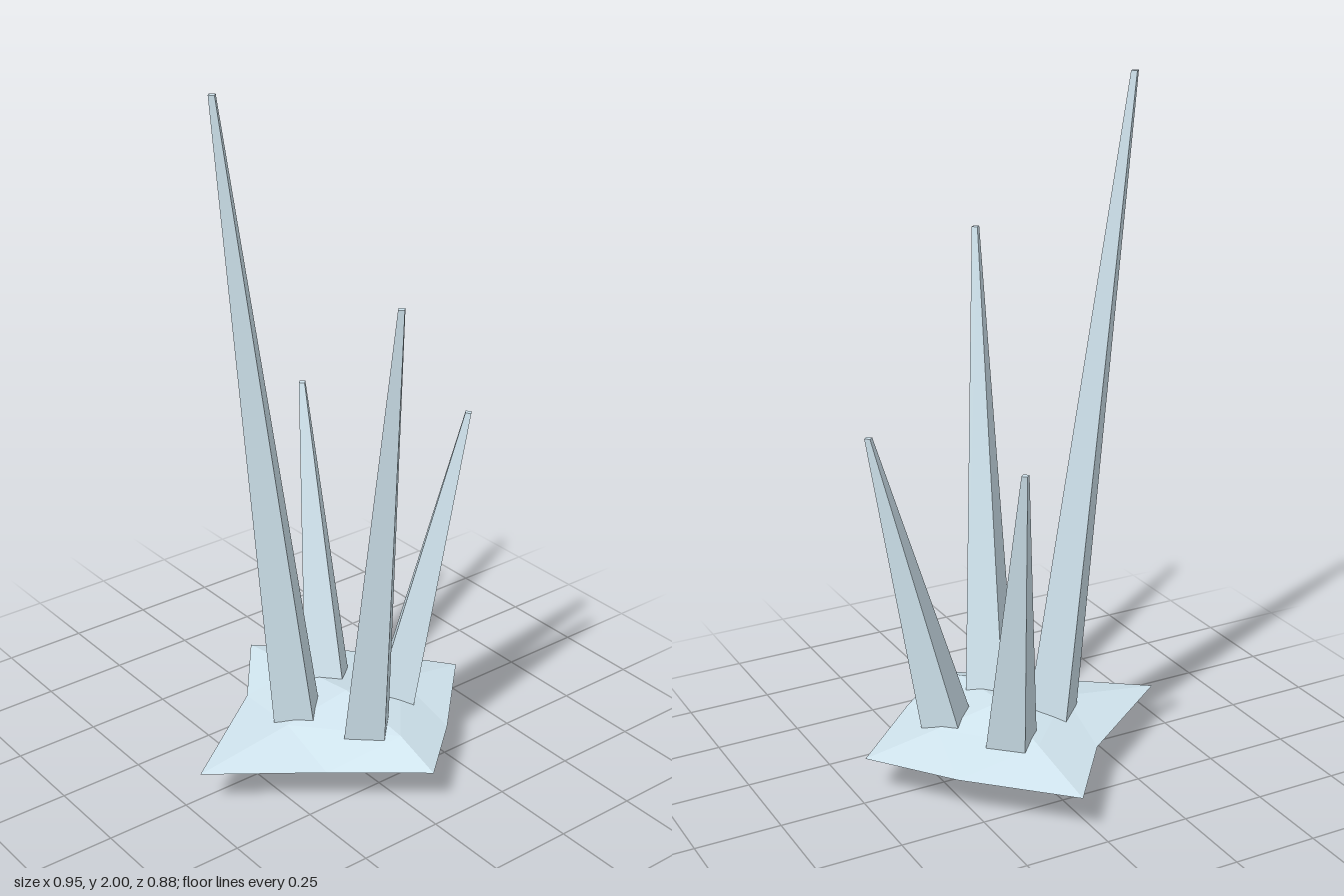
import * as THREE from 'three';

const material = new THREE.MeshStandardMaterial({ color: 0xd0e4ee });
material.flatShading = true;

// Faceted rock: two shallow four-sided peaks, each side split into four triangles
function createRock() {
  const rimY = 0.115;
  const corners = [[0.475, 0.04], [0.045, 0.435], [-0.475, 0.04], [0.045, -0.44]];
  const rimMids = [[0.23, 0.28], [-0.19, 0.25], [-0.135, -0.21], [0.30, -0.19]];
  const topMids = [[0.25, 0.152, 0.04], [0.045, 0.162, 0.29], [-0.17, 0.156, 0.04], [0.045, 0.155, -0.19]];
  const lowMids = [[0.22, 0.06, 0.04], [0.045, 0.06, 0.25], [-0.15, 0.06, 0.04], [0.045, 0.06, -0.14]];
  const positions = [];
  const rim = ([x, z]) => [x, rimY, z];
  const addPeak = (apex, mids, flip) => {
    const tri = (a, b, c) => positions.push(...a, ...(flip ? c : b), ...(flip ? b : c));
    for (let i = 0; i < 4; i++) {
      const j = (i + 1) % 4;
      const edge = rim(rimMids[i]);
      tri(apex, mids[j], mids[i]);
      tri(mids[i], mids[j], edge);
      tri(mids[i], edge, rim(corners[i]));
      tri(mids[j], rim(corners[j]), edge);
    }
  };
  addPeak([0.045, 0.19, 0.04], topMids, false);
  addPeak([0.045, 0, 0.04], lowMids, true);
  const geometry = new THREE.BufferGeometry();
  geometry.setAttribute('position', new THREE.Float32BufferAttribute(positions, 3));
  geometry.computeVertexNormals();
  const rock = new THREE.Mesh(geometry, material);
  rock.name = 'rockBase';
  return rock;
}

// Four-sided tapering spike, sheared so that both ends stay level
function createSpike(name, base, tip) {
  const bottomY = 0.125;
  const height = tip[1] - bottomY;
  const geometry = new THREE.CylinderGeometry(0.012, 0.083, height, 4);
  const p = geometry.attributes.position;
  for (let i = 0; i < p.count; i++) {
    const t = p.getY(i) / height + 0.5;
    p.setXYZ(
      i,
      p.getX(i) + THREE.MathUtils.lerp(base[0], tip[0], t),
      bottomY + t * height,
      p.getZ(i) + THREE.MathUtils.lerp(base[1], tip[2], t)
    );
  }
  geometry.computeVertexNormals();
  const spike = new THREE.Mesh(geometry, material);
  spike.name = name;
  return spike;
}

export function createModel() {
  const model = new THREE.Group();
  model.name = 'spikeCluster';
  model.add(
    createRock(),
    createSpike('tallRightSpike', [-0.1, -0.005], [-0.304, 2, -0.068]),
    createSpike('frontSpike', [0.002, 0.186], [-0.063, 1.515, 0.388]),
    createSpike('backSpike', [0.09, -0.11], [0.153, 1.026, -0.31]),
    createSpike('leftSpike', [0.193, 0.085], [0.392, 1.026, 0.148])
  );
  return model;
}
